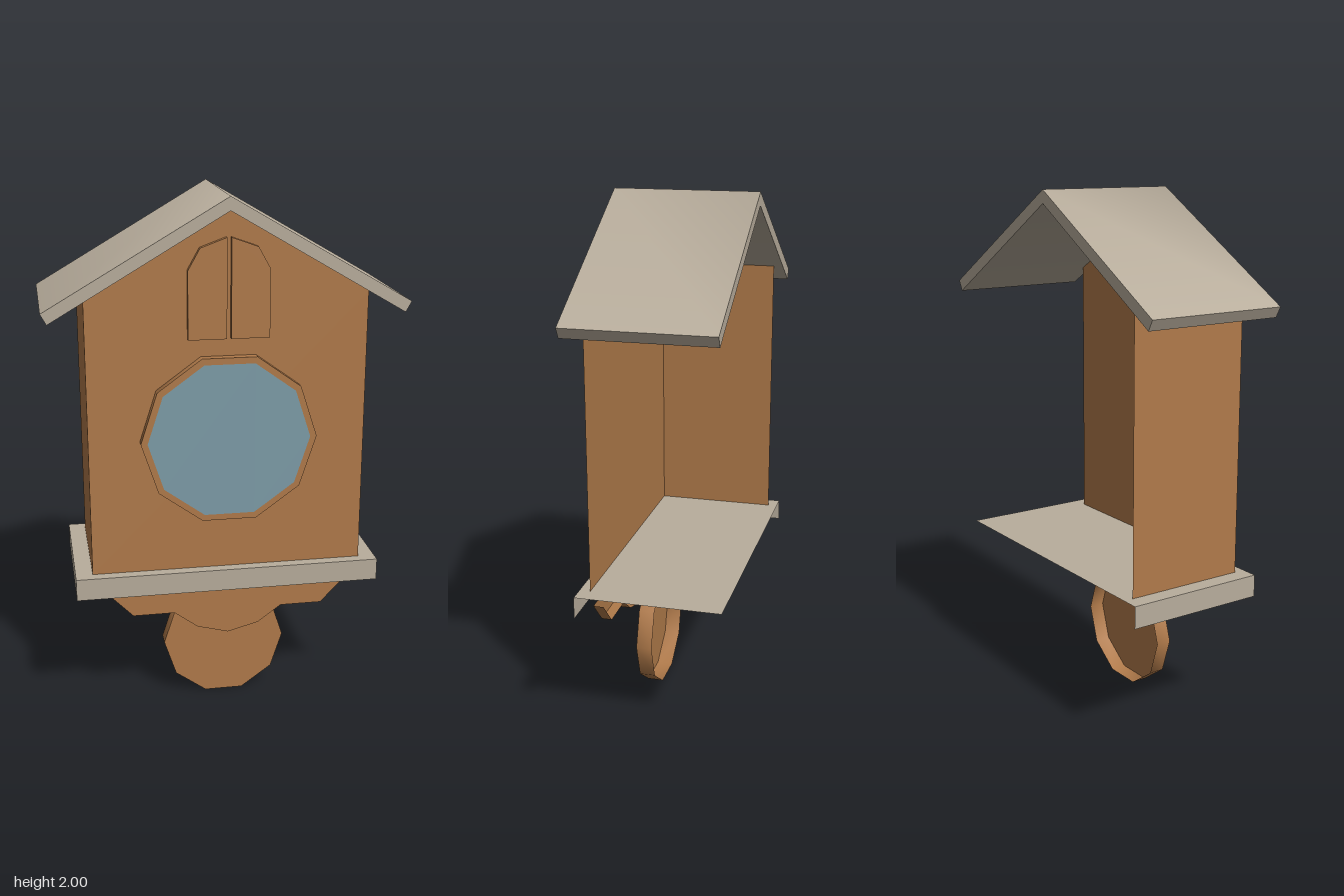
import * as THREE from 'three';

const paint = (name, color) => {
  const m = new THREE.MeshStandardMaterial({ color, side: THREE.DoubleSide });
  m.name = name;
  return m;
};

// Counter-clockwise regular decagon outline
const decagon = (r, cy) => Array.from({ length: 10 }, (_, i) => {
  const a = (i * Math.PI) / 5;
  return [r * Math.cos(a), cy + r * Math.sin(a)];
});

// Band of faces that follows a path in x/y from z0 to z1
function band(path, z0, z1, { closed = false, smooth = false } = {}) {
  const n = path.length, pos = [], index = [];
  for (const [x, y] of path) pos.push(x, y, z0, x, y, z1);
  for (let i = 0; i < (closed ? n : n - 1); i++) {
    const a = 2 * i, b = 2 * ((i + 1) % n);
    index.push(a, b, b + 1, a, b + 1, a + 1);
  }
  let g = new THREE.BufferGeometry();
  g.setAttribute('position', new THREE.Float32BufferAttribute(pos, 3));
  g.setIndex(index);
  if (!smooth) g = g.toNonIndexed();
  g.computeVertexNormals();
  return g;
}

const plate = (outline, z) =>
  new THREE.ShapeGeometry(new THREE.Shape(outline.map(([x, y]) => new THREE.Vector2(x, y)))).translate(0, 0, z);

function part(name, material, geometries) {
  const g = new THREE.Group();
  g.name = name;
  geometries.forEach((geo, i) => {
    const m = new THREE.Mesh(geo, material);
    m.name = `${name}Face${i + 1}`;
    g.add(m);
  });
  return g;
}

export function createModel() {
  const wood = paint('wood', 0xb07a4a);
  const trim = paint('paleTrim', 0xb8ad9c);
  const glass = paint('blueDial', 0x7d9ca8);
  const model = new THREE.Group();
  model.name = 'wallClock';

  // House body: gabled front and one side wall, open elsewhere
  const gable = [[-0.52, 0.59], [0.52, 0.59], [0.52, 1.645], [0, 1.95], [-0.52, 1.645]];
  model.add(part('body', wood, [
    plate(gable, 0.235),
    band([[-0.52, 1.645], [-0.52, 0.59]], -0.24, 0.235),
  ]));

  // Roof: closed slab, softly shaded across the ridge
  const outer = [[0.672, 1.61], [0, 2], [-0.672, 1.61]];
  const inner = [[-0.65, 1.57], [0, 1.95], [0.65, 1.57]];
  const section = [...outer, ...inner];
  model.add(part('roof', trim, [
    band(outer, -0.277, 0.277, { smooth: true }),
    band(inner, -0.277, 0.277, { smooth: true }),
    band([outer[2], inner[0]], -0.277, 0.277),
    band([inner[2], outer[0]], -0.277, 0.277),
    plate(section, 0.277),
    plate(section, -0.277).rotateY(Math.PI).translate(0, 0, -0.554),
  ]));

  // Base shelf: top, front and one end
  const shelf = [[-0.585, 0.505], [0.585, 0.505], [0.585, 0.59], [-0.585, 0.59]];
  model.add(part('baseShelf', trim, [
    plate(shelf, 0.277),
    band([shelf[2], shelf[3], shelf[0]], -0.277, 0.277),
  ]));

  // Clock face: raised frame with a blue dial
  const frame = decagon(0.33, 1.11);
  model.add(part('dialFrame', wood, [
    plate(frame, 0.27),
    band(frame.slice(1, 8), 0.235, 0.27, { smooth: true }),
  ]));
  model.add(part('dial', glass, [plate(decagon(0.305, 1.11), 0.272)]));

  // Pair of little doors, mirrored
  const door = [[-0.15, 1.49], [-0.008, 1.49], [-0.008, 1.855], [-0.105, 1.82], [-0.15, 1.74]];
  const mirrored = door.map(([x, y]) => [-x, y]).reverse();
  model.add(part('rightDoor', wood, [
    plate(door, 0.255),
    band([door[2], door[3], door[4], door[0]], 0.235, 0.255),
  ]));
  model.add(part('leftDoor', wood, [
    plate(mirrored, 0.255),
    band([...mirrored.slice(0, 3), mirrored[3]], 0.235, 0.255),
  ]));

  // Scalloped valance below the shelf
  const valance = [[-0.465, 0.505], [-0.37, 0.407], [-0.21, 0.407], [-0.12, 0.34], [0, 0.308],
    [0.12, 0.34], [0.21, 0.407], [0.37, 0.407], [0.465, 0.505]];
  model.add(part('valance', wood, [plate(valance, 0.243), band(valance, 0.203, 0.243)]));

  // Pendulum bob, hollow at the back
  const bob = decagon(0.24, 0.2283);
  model.add(part('pendulum', wood, [
    plate(bob, 0.145),
    band(bob, 0.083, 0.145, { closed: true, smooth: true }),
  ]));

  return model;
}
